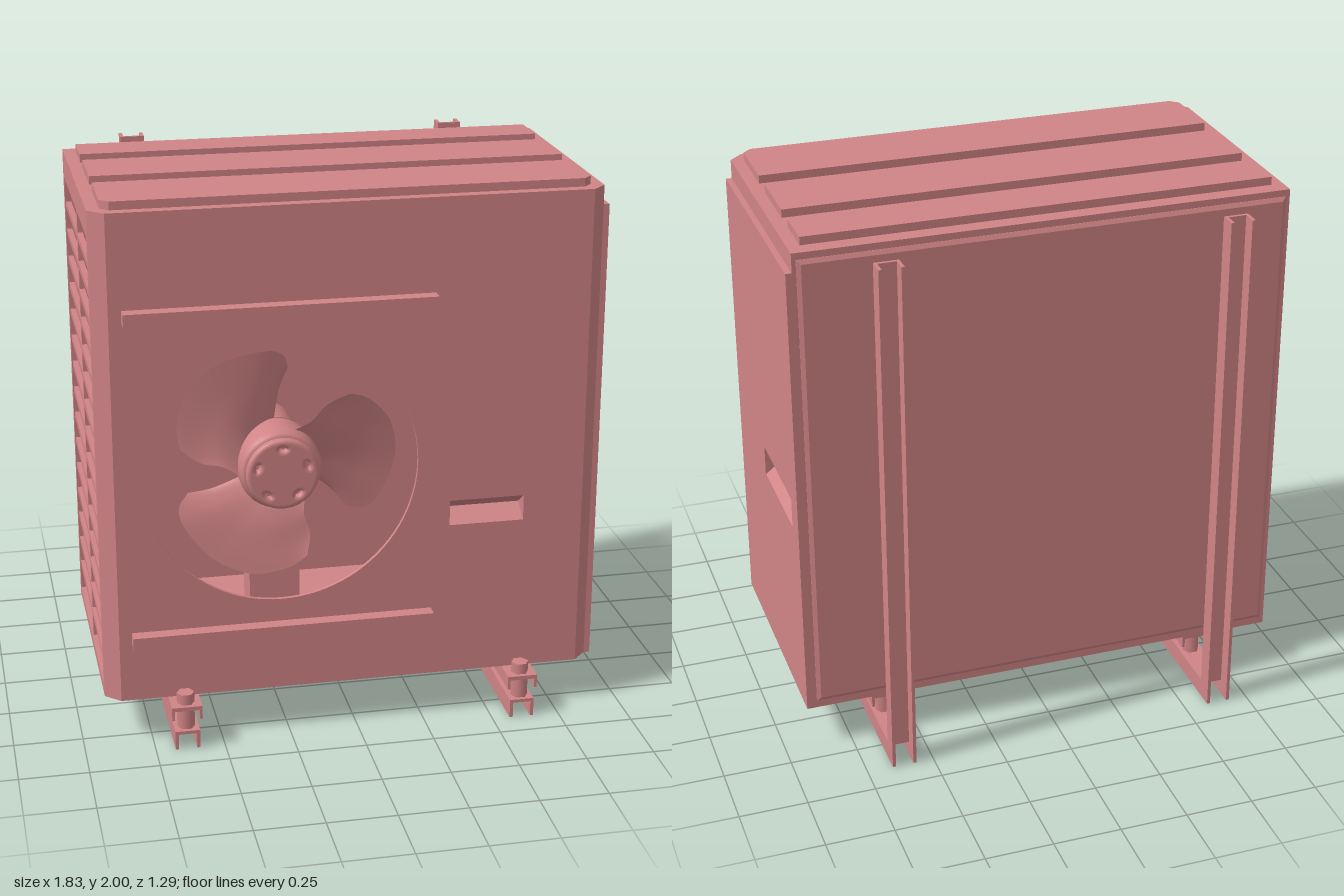
import * as THREE from 'three';

const mat = new THREE.MeshStandardMaterial({ color: 0xd08486 });
const thin = new THREE.MeshStandardMaterial({ color: 0xd08486, side: THREE.DoubleSide });
const FAN = { x: -0.27, y: 1.01 };

function add(parent, name, geo, material = mat) {
  const m = new THREE.Mesh(geo, material);
  m.name = name;
  parent.add(m);
  return m;
}

// box given by its limits
function box(parent, name, x0, x1, y0, y1, z0, z1) {
  const m = add(parent, name, new THREE.BoxGeometry(x1 - x0, y1 - y0, z1 - z0));
  m.position.set((x0 + x1) / 2, (y0 + y1) / 2, (z0 + z1) / 2);
  return m;
}

const poly = (pts) => new THREE.Shape(pts.map((p) => new THREE.Vector2(...p)));
const rect = (x0, x1, y0, y1) => poly([[x0, y0], [x1, y0], [x1, y1], [x0, y1]]);
const extrude = (shape, depth, more = {}) =>
  new THREE.ExtrudeGeometry(shape, { depth, bevelEnabled: false, curveSegments: 48, ...more });

// vertical prism from an [x, z] outline
function slab(parent, name, outline, y0, y1) {
  const geo = extrude(poly(outline.map(([x, z]) => [x, -z])), y1 - y0);
  geo.rotateX(-Math.PI / 2).translate(0, y0, 0);
  return add(parent, name, geo);
}

// V-shaped finger recess, opening towards +z
function recess(parent, name, w, low, mid, high, depth) {
  const pos = [];
  for (const x of [-w / 2, w / 2]) pos.push(x, low, 0, x, mid, -depth, x, high, 0);
  const geo = new THREE.BufferGeometry();
  geo.setAttribute('position', new THREE.Float32BufferAttribute(pos, 3));
  geo.setIndex([0, 3, 4, 0, 4, 1, 1, 4, 5, 1, 5, 2, 0, 1, 2, 3, 5, 4]);
  const flat = geo.toNonIndexed();
  flat.computeVertexNormals();
  return add(parent, name, flat, thin);
}

// blade as a patch blended between its four edge curves
function bladeGeometry() {
  const curve = (pts) => new THREE.SplineCurve(pts.map((p) => new THREE.Vector2(...p)));
  const lead = curve([[0, 0.135], [0.02, 0.25], [0.053, 0.33]]);
  const trail = curve([[-0.135, -0.03], [-0.2, 0.016], [-0.28, 0.037], [-0.35, 0.09]]);
  const root = curve([[0, 0.135], [-0.1, 0.09], [-0.135, -0.03]]);
  const tip = curve([[0.053, 0.33], [0.03, 0.385], [-0.04, 0.407], [-0.2, 0.38],
    [-0.317, 0.29], [-0.36, 0.17], [-0.35, 0.09]]);
  const c = [root.getPoint(0), root.getPoint(1), tip.getPoint(0), tip.getPoint(1)];
  const geo = new THREE.PlaneGeometry(1, 1, 28, 16);
  const pos = geo.attributes.position;
  for (let i = 0; i < pos.count; i++) {
    const u = 0.5 - pos.getX(i), v = pos.getY(i) + 0.5;
    const a = lead.getPoint(v), b = trail.getPoint(v), r = root.getPoint(u), t = tip.getPoint(u);
    const at = (k) => (1 - u) * a[k] + u * b[k] + (1 - v) * r[k] + v * t[k]
      - (1 - u) * (1 - v) * c[0][k] - u * (1 - v) * c[1][k] - (1 - u) * v * c[2][k] - u * v * c[3][k];
    pos.setXYZ(i, at('x'), at('y'), 0.4 + 0.12 * u);
  }
  geo.computeVertexNormals();
  return geo;
}

function buildCase(g) {
  const footprint = [[-0.915, -0.42], [0.89, -0.42], [0.89, 0.5], [0.84, 0.55], [-0.86, 0.55], [-0.915, 0.5]];
  slab(g, 'basePlate', footprint, 0.165, 0.19);
  slab(g, 'topCover', footprint, 1.9, 1.97);

  // raised strips on the cover, the front one with cut corners
  for (const [z0, z1] of [[-0.36, -0.195], [-0.105, 0.145]])
    box(g, 'topRib', -0.87, 0.845, 1.97, 2, z0, z1);
  slab(g, 'frontTopRib', [[-0.87, 0.235], [0.845, 0.235], [0.845, 0.48], [0.815, 0.51],
    [-0.84, 0.51], [-0.87, 0.48]], 1.97, 2);

  // front panel with fan opening and grip
  const front = rect(-0.86, 0.84, 0.19, 1.9);
  front.holes.push(new THREE.Path().absarc(FAN.x, FAN.y, 0.495, 0, Math.PI * 2, true));
  front.holes.push(rect(0.345, 0.62, 0.75, 0.845));
  add(g, 'frontPanel', extrude(front, 0.015).translate(0, 0, 0.535));
  recess(g, 'frontGrip', 0.275, 0.75, 0.795, 0.845, 0.07).position.set(0.4825, 0, 0.549);
  slab(g, 'rightFrontCorner', [[-0.915, 0.5], [-0.9, 0.49], [-0.85, 0.535], [-0.86, 0.55]], 0.19, 1.9);
  slab(g, 'leftFrontCorner', [[0.84, 0.55], [0.83, 0.535], [0.875, 0.49], [0.89, 0.5]], 0.19, 1.9);
  for (const y of [0.385, 1.585]) box(g, 'frontBar', -0.815, 0.28, y, y + 0.045, 0.55, 0.6);

  // solid side panel with grip
  const side = rect(-0.5, 0.42, 0.165, 1.9);
  side.holes.push(rect(-0.085, 0.33, 0.885, 1));
  add(g, 'sidePanel', extrude(side, 0.022).rotateY(Math.PI / 2).translate(0.89, 0, 0));
  const grip = recess(g, 'sideGrip', 0.415, 0.885, 0.955, 1, 0.09);
  grip.rotation.y = Math.PI / 2;
  grip.position.set(0.911, 0, -0.1225);

  // back panel with a shallow bevelled field
  box(g, 'backPanel', -0.9, 0.89, 0.19, 1.9, -0.42, -0.4);
  add(g, 'backField', extrude(rect(-0.885, 0.86, 0.21, 1.93), 0.005, {
    bevelEnabled: true, bevelThickness: 0.008, bevelSize: 0.015, bevelSegments: 1,
  }).translate(0, 0, -0.422));
}

// open grille on the intake side
function buildGrille(g) {
  const frame = rect(-0.5, 0.42, 0.165, 1.9);
  frame.holes.push(rect(-0.465, 0.385, 0.2, 1.87));
  add(g, 'grilleFrame', extrude(frame, 0.025).rotateY(Math.PI / 2).translate(-0.915, 0, 0));
  box(g, 'grilleUpright', -0.91, -0.89, 0.19, 1.9, 0.03, 0.06);
  const n = 15;
  for (let i = 1; i <= n; i++) {
    const y = 0.2 + (1.67 * i) / (n + 1);
    box(g, 'grilleSlat', -0.912, -0.892, y - 0.012, y + 0.012, -0.4, 0.48);
  }
}

function buildFan(g) {
  const fan = new THREE.Group();
  fan.name = 'fan';
  fan.position.set(FAN.x, FAN.y, 0);
  g.add(fan);

  // hub body and its pierced front cap
  const profile = [[0, 0.38], [0.14, 0.38], [0.148, 0.42], [0.148, 0.53], [0.14, 0.555], [0.125, 0.565], [0, 0.565]];
  add(fan, 'hub', new THREE.LatheGeometry(profile.map((p) => new THREE.Vector2(...p)), 48).rotateX(Math.PI / 2), thin);
  const cap = new THREE.Shape().absarc(0, 0, 0.115, 0, Math.PI * 2);
  for (let i = 0; i < 5; i++) {
    const a = Math.PI / 2 + (i * Math.PI * 2) / 5;
    cap.holes.push(new THREE.Path().absellipse(0.093 * Math.cos(a), 0.093 * Math.sin(a),
      0.022, 0.029, 0, Math.PI * 2, true, a));
  }
  add(fan, 'hubCap', extrude(cap, 0.012, {
    curveSegments: 32, bevelEnabled: true, bevelThickness: 0.012, bevelSize: 0.015, bevelSegments: 4,
  }).translate(0, 0, 0.571));

  const blade = bladeGeometry();
  for (let i = 0; i < 3; i++) add(fan, 'blade', blade, thin).rotation.z = (i * Math.PI * 2) / 3;

  // motor and its stand
  const motor = add(fan, 'motor', new THREE.CylinderGeometry(0.12, 0.12, 0.24, 32).rotateX(Math.PI / 2));
  motor.position.z = 0.27;
  box(g, 'motorStand', -0.36, -0.175, 0.19, 1.01, 0.25, 0.38);
}

// bent channel, foot rail and bolts, centred on x = 0
function buildBracket(x) {
  const g = new THREE.Group();
  g.name = 'mountingBracket';
  g.position.x = x;
  const bend = poly([[0.645, 0], [0.645, 0.07], [-0.58, 0.07], [-0.58, 1.97], [-0.645, 1.97], [-0.645, 0]].reverse());
  for (const edge of [-0.033, 0.045])
    add(g, 'bracketFlange', extrude(bend, 0.012).rotateY(-Math.PI / 2).translate(edge, 0, 0));
  box(g, 'bracketArm', -0.04, 0.04, 0.058, 0.07, -0.59, 0.645);
  box(g, 'bracketUpright', -0.04, 0.04, 0.058, 1.97, -0.592, -0.58);

  box(g, 'footRail', -0.055, 0.055, 0.15, 0.165, -0.415, 0.645);
  for (const s of [-1, 1]) box(g, 'footRailEdge', s * 0.05 - 0.005, s * 0.05 + 0.005, 0.115, 0.16, -0.415, 0.645);
  const bolt = new THREE.CylinderGeometry(0.032, 0.032, 1, 6).rotateY(Math.PI / 6);
  for (const [z, top] of [[0.602, 0.205], [-0.37, 0.155]]) {
    const m = add(g, 'bolt', bolt);
    m.scale.y = top - 0.065;
    m.position.set(0, (top + 0.065) / 2, z);
  }
  return g;
}

export function createModel() {
  const model = new THREE.Group();
  model.name = 'outdoorCoolingUnit';
  buildCase(model);
  buildGrille(model);
  buildFan(model);
  for (const x of [-0.635, 0.61]) model.add(buildBracket(x));
  return model;
}
